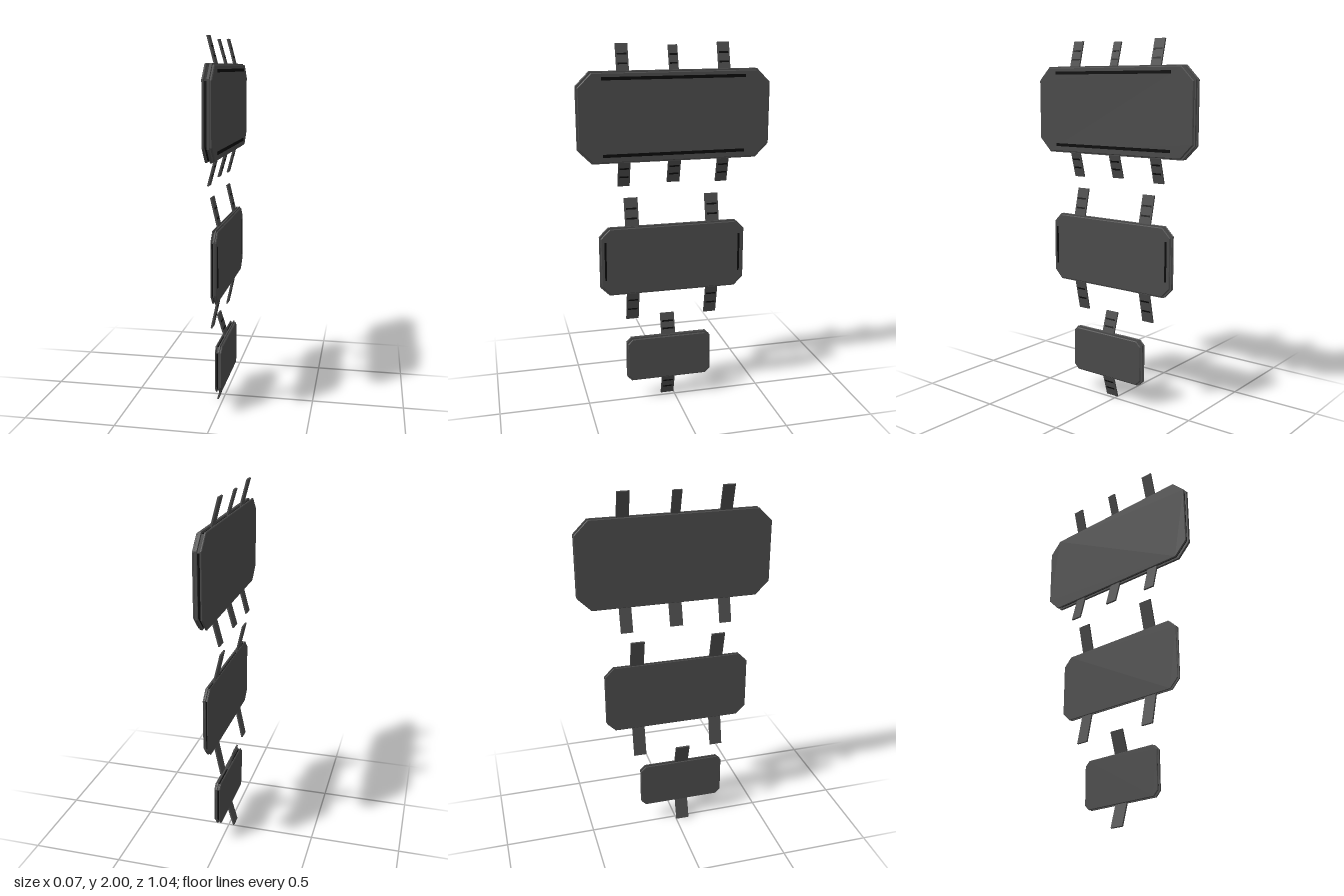
import * as THREE from 'three';

const dark = new THREE.MeshStandardMaterial({ color: 0x4a4a4a, flatShading: true });
const black = new THREE.MeshStandardMaterial({ color: 0x0a0a0a, flatShading: true });

function add(parent, name, geometry, material, x = 0, y = 0, z = 0) {
  const mesh = new THREE.Mesh(geometry, material);
  mesh.name = name;
  mesh.position.set(x, y, z);
  parent.add(mesh);
  return mesh;
}

// Rectangle with cut corners in the yz plane, filling x0..x1; bevel narrows both faces
function plate(width, height, cut, x0, x1, bevel = 0) {
  const w = width / 2 - bevel, h = height / 2 - bevel, c = cut - bevel * 0.6;
  const shape = new THREE.Shape([
    [w, -h + c], [w, h - c], [w - c, h], [-w + c, h],
    [-w, h - c], [-w, -h + c], [-w + c, -h], [w - c, -h],
  ].map(([x, y]) => new THREE.Vector2(x, y)));
  const t = Math.min(bevel, (x1 - x0) * 0.4);
  const g = new THREE.ExtrudeGeometry(shape, {
    depth: x1 - x0 - 2 * t, bevelEnabled: bevel > 0,
    bevelSize: bevel, bevelThickness: t, bevelSegments: 1,
  });
  return g.translate(0, 0, x0 + t).rotateY(Math.PI / 2);
}

// Slanted strap from the panel edge (x0, y0) to its free end (x1, y1), with dark slots on its +x face
function strap(parent, { x0, y0, x1, y1, z, width }) {
  const dx = x1 - x0, dy = y1 - y0, up = Math.sign(dy);
  const length = Math.hypot(dx, dy), thick = 0.009;
  const group = new THREE.Group();
  group.name = up > 0 ? 'upperStrap' : 'lowerStrap';
  group.position.set(x0, y0, z);
  group.rotation.z = Math.atan2(-dx * up, dy * up);
  add(group, 'strapBand', new THREE.BoxGeometry(thick, length + 0.012, width), dark, 0, up * (length / 2 - 0.006), 0);
  for (const t of [0.28, 0.62]) {
    add(group, 'strapSlot', new THREE.BoxGeometry(0.002, 0.009, width * 0.78), black, thick / 2, up * length * t, 0);
  }
  parent.add(group);
}

const panels = [
  {
    name: 'largePanel', y0: 1.39, y1: 1.865, z0: -0.52, z1: 0.52, cut: 0.073,
    x: [-0.017, -0.006, 0.008, 0.02, 0.033], root: 0.004, lean: 0.037,
    upper: [[0.273, 0.065, 2], [0.003, 0.05, 1.99], [-0.27, 0.065, 2]],
    lower: [[0.273, 0.065, 1.255], [0, 0.07, 1.265], [-0.27, 0.065, 1.255]],
    trims: [[1.83, 0.005, 0.016, 0.77], [1.433, 0.005, 0.016, 0.77]],
  },
  {
    name: 'middlePanel', y0: 0.655, y1: 1.04, z0: -0.392, z1: 0.42, cut: 0.05,
    x: [0.002, 0.008, 0.016, 0.022, 0.032], root: 0.012, lean: 0.036,
    upper: [[0.238, 0.075, 1.19], [-0.212, 0.075, 1.19]],
    lower: [[0.238, 0.07, 0.49], [-0.212, 0.07, 0.49]],
    trims: [[0.855, 0.39, 0.215, 0.01], [0.855, -0.361, 0.215, 0.01]],
  },
  {
    name: 'smallPanel', y0: 0.125, y1: 0.387, z0: -0.205, z1: 0.28, cut: 0.027,
    x: [-0.005, 0.003, 0.013, 0.02, 0.031], root: 0.008, lean: 0.037,
    upper: [[0.038, 0.08, 0.503]],
    lower: [[0.038, 0.075, 0.003]],
    trims: [],
  },
];

export function createModel() {
  const model = new THREE.Group();
  model.name = 'hangingPanels';

  for (const p of panels) {
    const group = new THREE.Group();
    group.name = p.name;
    model.add(group);
    const w = p.z1 - p.z0, h = p.y1 - p.y0;
    const cy = (p.y0 + p.y1) / 2, cz = (p.z0 + p.z1) / 2;
    const [a, b, c, d, e] = p.x;

    // Sandwich: back plate, recessed core, rim and stepped face
    add(group, 'backPlate', plate(w, h, p.cut, a, b, 0.003), dark, 0, cy, cz);
    add(group, 'recessedCore', plate(w - 0.02, h - 0.02, p.cut, b, c), black, 0, cy, cz);
    add(group, 'rimPlate', plate(w, h, p.cut, c, d), dark, 0, cy, cz);
    add(group, 'facePlate', plate(w - 0.012, h - 0.012, p.cut, d, e, 0.004), dark, 0, cy, cz);

    // Inlaid trim bars on the face
    for (const [y, z, height, width] of p.trims) {
      add(group, 'trimBar', new THREE.BoxGeometry(0.008, height, width), black, e, y, z);
    }

    // Straps along the upper and lower edges
    for (const [z, width, end] of p.upper) {
      strap(group, { x0: p.root, y0: p.y1 - 0.003, x1: p.root - p.lean, y1: end, z, width });
    }
    for (const [z, width, end] of p.lower) {
      strap(group, { x0: p.root, y0: p.y0 + 0.003, x1: p.root - p.lean, y1: end, z, width });
    }
  }
  return model;
}
